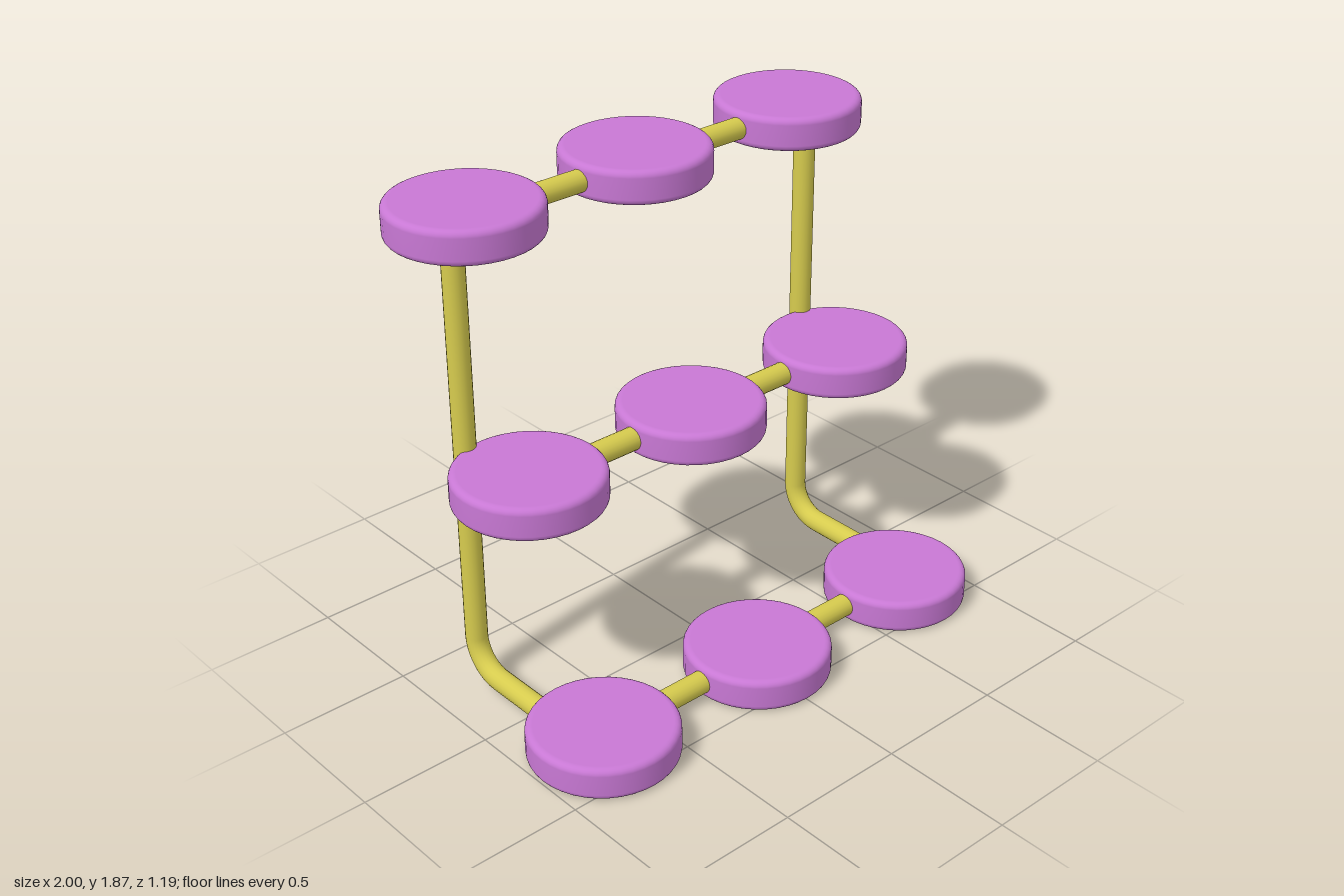
import * as THREE from 'three';

const PAD_R = 0.272, PAD_H = 0.126, ROD_R = 0.041, POST_X = 0.8, PAD_X = 0.728;
const V = (x, y, z) => new THREE.Vector3(x, y, z);

// Straight runs joined by round bends of radius r
function roundedPath(points, r) {
  const path = new THREE.CurvePath();
  const k = 0.5523;
  let start = points[0];
  for (let i = 1; i < points.length - 1; i++) {
    const p = points[i];
    const a = p.clone().lerp(points[i - 1], r / p.distanceTo(points[i - 1]));
    const b = p.clone().lerp(points[i + 1], r / p.distanceTo(points[i + 1]));
    path.add(new THREE.LineCurve3(start, a));
    path.add(new THREE.CubicBezierCurve3(a, a.clone().lerp(p, k), b.clone().lerp(p, k), b));
    start = b;
  }
  path.add(new THREE.LineCurve3(start, points[points.length - 1]));
  return path;
}

// Round pad with softened rims
function padGeometry() {
  const b = 0.024, pts = [new THREE.Vector2(0, 0), new THREE.Vector2(PAD_R - b - 0.004, 0)];
  for (const [cy, from] of [[b, -Math.PI / 2], [PAD_H - b, 0]]) {
    for (let i = 0; i <= 5; i++) {
      const t = from + (i / 5) * Math.PI / 2;
      pts.push(new THREE.Vector2(PAD_R - b + b * Math.cos(t), cy + b * Math.sin(t)));
    }
  }
  pts.push(new THREE.Vector2(PAD_R - b - 0.004, PAD_H), new THREE.Vector2(0, PAD_H));
  return new THREE.LatheGeometry(pts, 40);
}

export function createModel() {
  const group = new THREE.Group();
  const padMat = new THREE.MeshStandardMaterial({ color: 0xc878d4 });
  const rodMat = new THREE.MeshStandardMaterial({ color: 0xd6cb4e });
  const add = (geometry, material, name, x = 0, y = 0, z = 0) => {
    const mesh = new THREE.Mesh(geometry, material);
    mesh.name = name;
    mesh.position.set(x, y, z);
    group.add(mesh);
    return mesh;
  };

  // Bent tube frame: feet, posts and top rail in one piece
  const frame = roundedPath([
    V(-POST_X, 0.066, 0.3), V(-POST_X, 0.066, -0.303), V(-POST_X, 1.803, -0.303),
    V(POST_X, 1.803, -0.303), V(POST_X, 0.066, -0.303), V(POST_X, 0.066, 0.3),
  ], 0.13);
  add(new THREE.TubeGeometry(frame, 260, ROD_R, 20), rodMat, 'tubeFrame');

  // Three tiers of pads, stepping back as they rise
  const tiers = [
    { name: 'lower', y: 0, z: 0.322, rodZ: 0.318 },
    { name: 'middle', y: 0.851, z: -0.04, rodZ: -0.043 },
    { name: 'upper', y: 1.739, z: -0.325 },
  ];
  const pad = padGeometry();
  const rod = new THREE.CylinderGeometry(ROD_R + 0.002, ROD_R + 0.002, PAD_X * 2, 20).rotateZ(Math.PI / 2);
  for (const t of tiers) {
    for (const side of [-1, 0, 1]) {
      add(pad, padMat, t.name + 'Pad' + ['Right', 'Middle', 'Left'][side + 1], side * PAD_X, t.y, t.z);
    }
    // Cross rod (the upper tier sits on the frame itself)
    if (t.rodZ !== undefined) add(rod, rodMat, t.name + 'Rod', 0, t.y + 0.064, t.rodZ);
  }
  return group;
}
